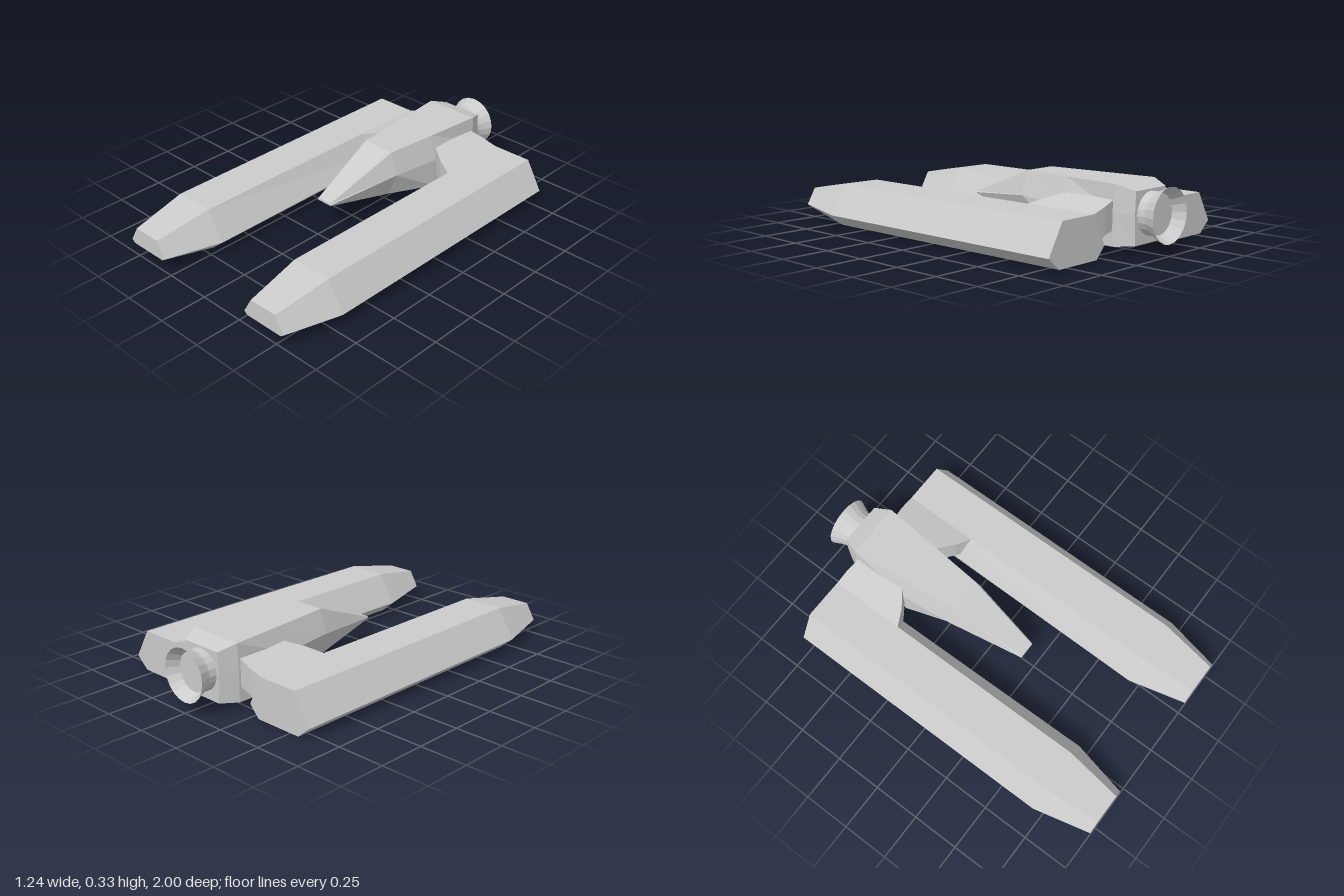
import * as THREE from 'three';

const material = new THREE.MeshStandardMaterial({ color: 0xcccccc, flatShading: true, side: THREE.DoubleSide });

// Skin a list of equal-length rings of [x, y, z]; rings run counterclockwise
// as seen from the end of the loft. side = -1 mirrors the shape across x = 0.
function loft(name, rings, side = 1) {
  const placed = rings.map((ring) => {
    const pts = ring.map(([x, y, z]) => [x * side, y, z]);
    return side < 0 ? pts.reverse() : pts;
  });
  const n = placed[0].length;
  const pos = [];
  const tri = (a, b, c) => pos.push(...a, ...b, ...c);
  for (let i = 0; i < placed.length - 1; i++) {
    for (let j = 0; j < n; j++) {
      const k = (j + 1) % n;
      const [lo, hi] = [placed[i], placed[i + 1]];
      tri(lo[j], lo[k], hi[k]);
      tri(lo[j], hi[k], hi[j]);
    }
  }
  const [first, last] = [placed[0], placed[placed.length - 1]];
  for (let j = 1; j < n - 1; j++) {
    tri(first[0], first[j + 1], first[j]);
    tri(last[0], last[j], last[j + 1]);
  }
  const geo = new THREE.BufferGeometry();
  geo.setAttribute('position', new THREE.Float32BufferAttribute(pos, 3));
  geo.computeVertexNormals();
  const mesh = new THREE.Mesh(geo, material);
  mesh.name = name;
  return mesh;
}

// Six-sided pontoon section: bottom, outer chine, top, inner chine
const pontoonRing = (z, yBottom, yChine, yTop, xs) => [
  [xs[0], yBottom, z], [xs[1], yBottom, z], [xs[2], yChine, z],
  [xs[3], yTop, z], [xs[4], yTop, z], [xs[5], yChine, z],
];

// Symmetric fuselage section: bottom, widest line and top as [halfWidth, y]
const hullRing = (z, [bx, by], [mx, my], [tx, ty]) => [
  [-bx, by, z], [bx, by, z], [mx, my, z], [tx, ty, z], [-tx, ty, z], [-mx, my, z],
];

// Wing section at one x: front and back z, bottom and top y
const wingRing = (x, front, back, bottom, top) => [
  [x, bottom, front], [x, bottom, back], [x, top, back], [x, top, front],
];

export function createModel() {
  const model = new THREE.Group();
  model.name = 'spacecraft';

  // Fuselage with pointed nose and tapered tail
  model.add(loft('fuselage', [
    hullRing(-0.89, [0.115, 0.05], [0.12, 0.2], [0.115, 0.305]),
    hullRing(-0.8, [0.157, 0.04], [0.157, 0.2], [0.15, 0.333]),
    hullRing(-0.48, [0.157, 0.04], [0.158, 0.2], [0.12, 0.333]),
    hullRing(-0.2, [0.08, 0.08], [0.13, 0.21], [0.092, 0.333]),
    hullRing(0.2, [0.045, 0.165], [0.048, 0.171], [0.042, 0.177]),
  ]));

  // Thin canopy panel on the sloping nose
  const canopyRing = (w, y, z) => [[-w, y - 0.01, z], [w, y - 0.01, z], [w, y + 0.002, z], [-w, y + 0.002, z]];
  model.add(loft('canopy', [canopyRing(0.08, 0.328, -0.19), canopyRing(0.034, 0.179, 0.19)]));

  for (const [side, label] of [[1, 'left'], [-1, 'right']]) {
    // Long side pontoon, tapering at the front
    model.add(loft(label + 'Pontoon', [
      pontoonRing(-0.805, 0, 0.06, 0.215, [0.29, 0.55, 0.62, 0.53, 0.31, 0.235]),
      pontoonRing(0.7, 0, 0.06, 0.215, [0.29, 0.55, 0.62, 0.53, 0.31, 0.22]),
      pontoonRing(1, 0.06, 0.075, 0.16, [0.31, 0.53, 0.55, 0.5, 0.34, 0.29]),
    ], side));

    // Short wing joining pontoon to fuselage
    model.add(loft(label + 'Wing', [
      wingRing(0.1, -0.52, -0.78, 0.12, 0.27),
      wingRing(0.155, -0.49, -0.788, 0.115, 0.257),
      wingRing(0.225, -0.44, -0.8, 0.105, 0.238),
      wingRing(0.31, -0.4, -0.805, 0.06, 0.215),
      wingRing(0.35, -0.4, -0.805, 0.06, 0.214),
    ], side));
  }

  // Flared engine bell with a recessed inner disc
  const profile = [[0.105, 0], [0.105, 0.05], [0.112, 0.07], [0.135, 0.12], [0.1, 0.06], [0, 0.06]]
    .map(([r, y]) => new THREE.Vector2(r, y));
  const nozzleMaterial = material.clone();
  const nozzle = new THREE.Mesh(new THREE.LatheGeometry(profile, 20), nozzleMaterial);
  nozzle.name = 'engineNozzle';
  nozzle.rotation.x = -Math.PI / 2;
  nozzle.position.set(0, 0.19, -0.88);
  model.add(nozzle);

  return model;
}
